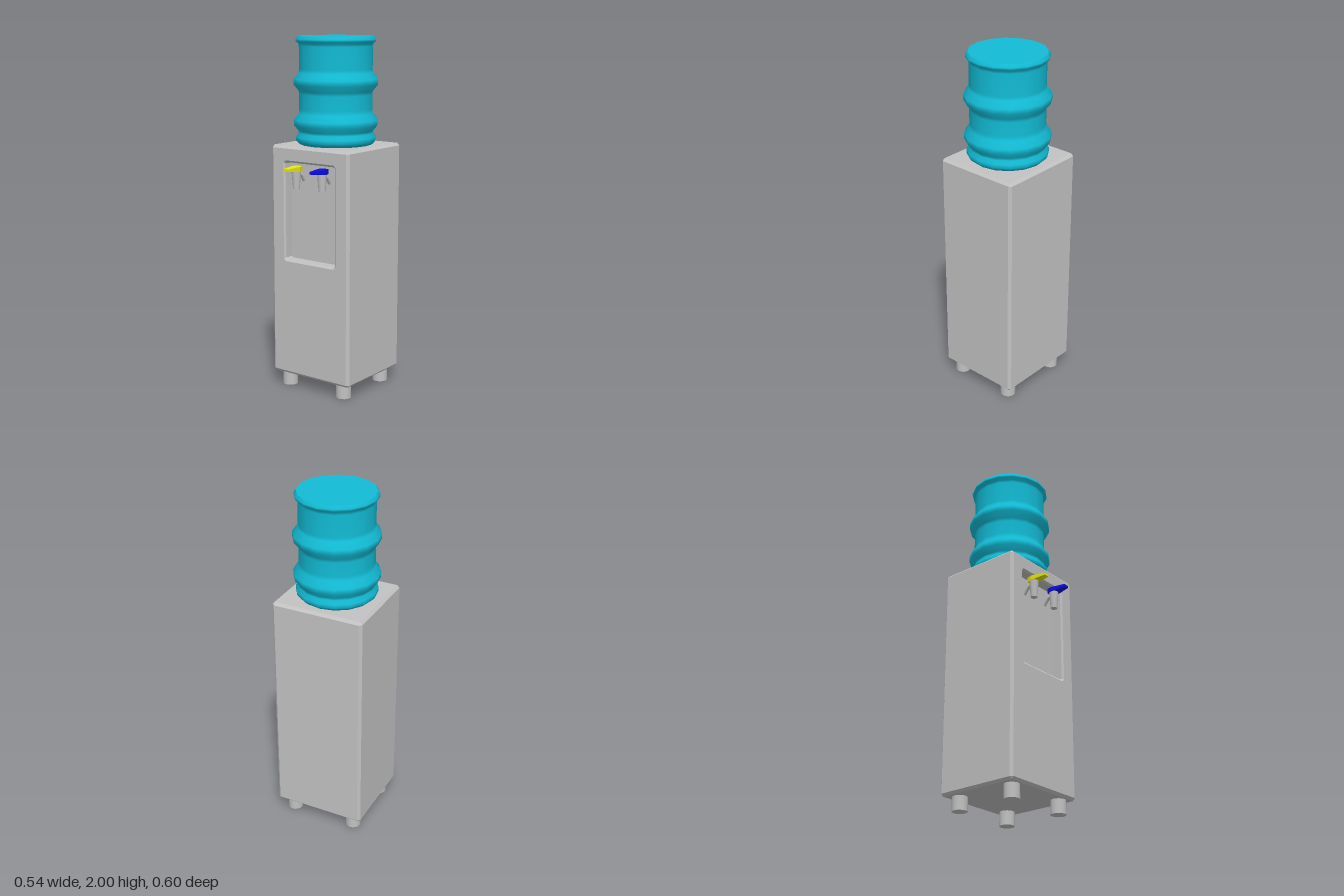
import * as THREE from 'three';

const material = (name, color, side = THREE.FrontSide) => {
  const m = new THREE.MeshStandardMaterial({ color, side });
  m.name = name;
  return m;
};

// One chamfered rectangle, counter-clockwise seen from the front
function ring(x, y0, y1, c, z) {
  return [
    [x, y0 + c], [x, y1 - c], [x - c, y1], [c - x, y1],
    [-x, y1 - c], [-x, y0 + c], [c - x, y0], [x - c, y0],
  ].map(([px, py]) => [px, py, z]);
}

// Flat-shaded skin through rings of equal size, closed at both ends
function skin(rings) {
  const n = rings[0].length;
  const index = [];
  for (let i = 0; i < rings.length - 1; i++) {
    for (let j = 0; j < n; j++) {
      const k = (j + 1) % n;
      const a = i * n + j, b = i * n + k;
      index.push(a, b, b + n, a, b + n, a + n);
    }
  }
  const last = (rings.length - 1) * n;
  for (let j = 1; j < n - 1; j++) {
    index.push(0, j + 1, j, last, last + j, last + j + 1);
  }
  const g = new THREE.BufferGeometry();
  g.setAttribute('position', new THREE.Float32BufferAttribute(rings.flat(2), 3));
  g.setIndex(index);
  const flat = g.toNonIndexed();
  flat.computeVertexNormals();
  return flat;
}

// Tap lever: tapered in plan and thinner towards its tip
function leverGeometry() {
  const outline = [[-0.02, 0.178], [0.02, 0.178], [0.0285, 0.208],
    [0.016, 0.297], [-0.016, 0.297], [-0.0285, 0.208]];
  const shape = new THREE.Shape(outline.map(([x, z]) => new THREE.Vector2(x, z)));
  const g = new THREE.ExtrudeGeometry(shape, { depth: 0.028, bevelEnabled: false });
  g.translate(0, 0, -0.014);
  g.rotateX(Math.PI / 2);
  const p = g.attributes.position;
  for (let i = 0; i < p.count; i++) {
    if (p.getZ(i) > 0.25) p.setY(i, p.getY(i) * 0.5 + 0.002);
  }
  g.computeVertexNormals();
  return g;
}

export function createModel() {
  const model = new THREE.Group();
  const grey = material('grey plastic', 0xc2c2c2);
  const teal = material('teal bottle', 0x12bcd6);
  const yellow = material('yellow lever', 0xe8e810);
  const blue = material('blue lever', 0x0d0dec);

  const add = (parent, name, geometry, mat, x = 0, y = 0, z = 0) => {
    const mesh = new THREE.Mesh(geometry, mat);
    mesh.name = name;
    mesh.position.set(x, y, z);
    parent.add(mesh);
    return mesh;
  };

  // Cabinet with chamfered edges and a recessed tap bay
  add(model, 'cabinet', skin([
    ring(0.253, 0.095, 1.387, 0.001, -0.3),
    ring(0.268, 0.08, 1.402, 0.014, -0.285),
    ring(0.268, 0.08, 1.402, 0.014, 0.188),
    ring(0.253, 0.095, 1.387, 0.001, 0.202),
    ring(0.182, 0.745, 1.321, 0.014, 0.202),
    ring(0.172, 0.756, 1.31, 0.008, 0.192),
    ring(0.172, 0.756, 1.31, 0.008, 0.14),
  ]), grey);

  // Feet
  const footGeometry = new THREE.CylinderGeometry(0.043, 0.043, 0.085, 16);
  for (const x of [-0.192, 0.192]) {
    for (const z of [-0.222, 0.138]) add(model, 'foot', footGeometry, grey, x, 0.0425, z);
  }

  // Bottle with two raised ribs, a rim at each end and a flat top
  const profile = [
    [0.2, 1.4], [0.215, 1.412], [0.225, 1.425], [0.225, 1.445], [0.21, 1.465],
    [0.212, 1.48], [0.236, 1.51], [0.238, 1.54], [0.209, 1.575], [0.207, 1.6],
    [0.207, 1.68], [0.209, 1.7], [0.238, 1.735], [0.238, 1.765], [0.209, 1.8],
    [0.207, 1.82], [0.207, 1.945], [0.21, 1.96], [0.225, 1.972], [0.225, 1.983],
    [0.214, 2],
  ].map(([r, y]) => new THREE.Vector2(r, y));
  add(model, 'bottle', new THREE.LatheGeometry(profile, 16), teal, 0, 0, -0.045);
  const lid = [new THREE.Vector2(0.214, 2), new THREE.Vector2(0, 2)];
  add(model, 'bottleTop', new THREE.LatheGeometry(lid, 16), teal, 0, 0, -0.045);

  // Taps: spout, curved feed pipe and coloured lever
  const spout = new THREE.CylinderGeometry(0.027, 0.019, 0.1, 12);
  const pipePath = new THREE.CatmullRomCurve3([
    new THREE.Vector3(0, 1.245, 0.205), new THREE.Vector3(0, 1.25, 0.175),
    new THREE.Vector3(0, 1.235, 0.155), new THREE.Vector3(0, 1.21, 0.135),
  ]);
  const pipe = new THREE.TubeGeometry(pipePath, 10, 0.011, 8);
  const lever = leverGeometry();
  for (const [name, x, mat] of [['hotTap', -0.084, yellow], ['coldTap', 0.095, blue]]) {
    const tap = new THREE.Group();
    tap.name = name;
    tap.position.x = x;
    add(tap, 'spout', spout, grey, 0, 1.22, 0.207);
    add(tap, 'feedPipe', pipe, grey);
    add(tap, 'lever', lever, mat, 0, 1.281, 0);
    model.add(tap);
  }
  return model;
}
